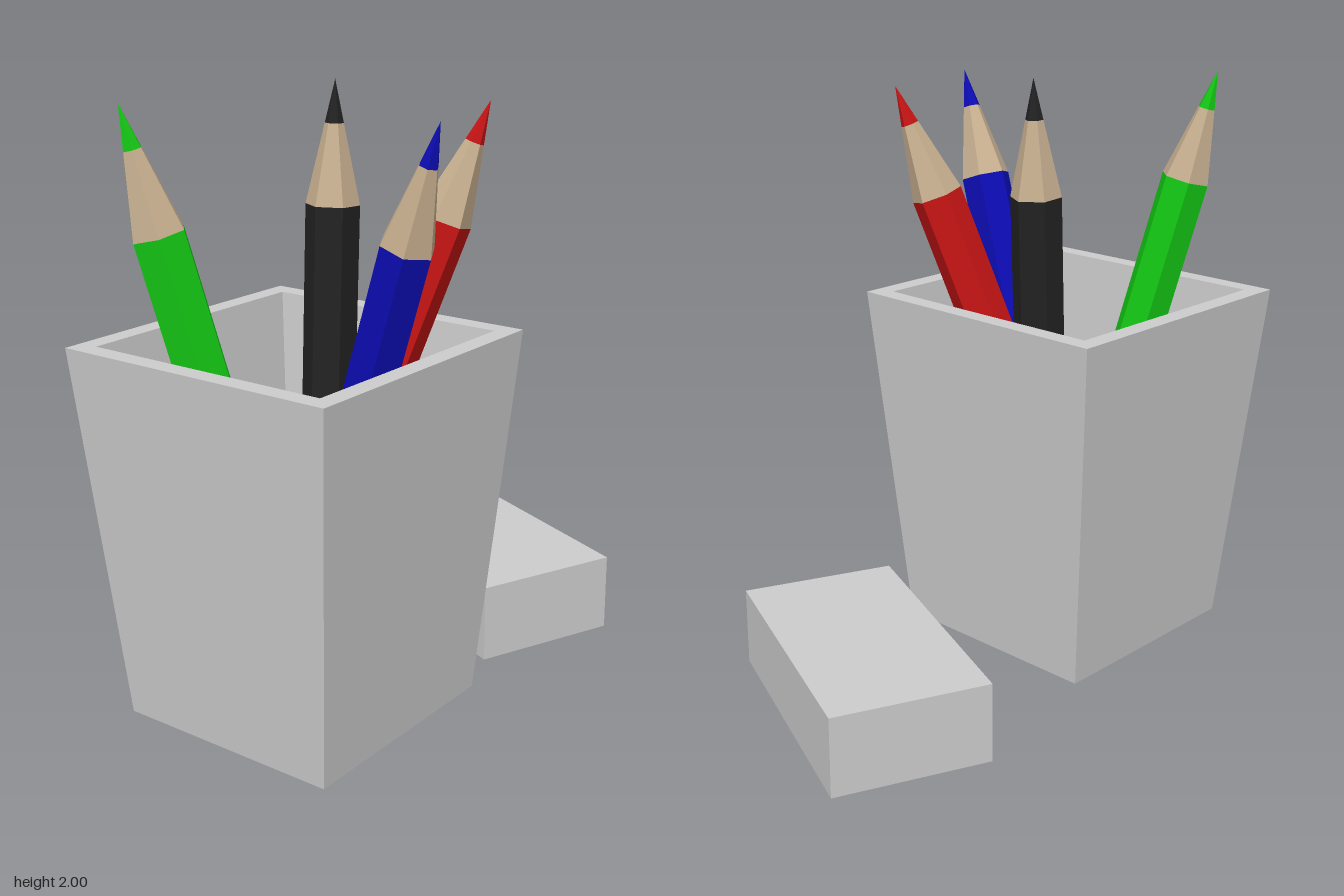
import * as THREE from 'three';

const mat = (color) => new THREE.MeshStandardMaterial({ color, flatShading: true });
const GREY = mat(0xcccccc);
const WOOD = mat(0xc8b090);
const UP = new THREE.Vector3(0, 1, 0);

function addMesh(parent, name, geometry, material) {
  const mesh = new THREE.Mesh(geometry, material);
  mesh.name = name;
  parent.add(mesh);
  return mesh;
}

// Hexagonal pencil, modelled with its point at the origin and its body hanging below
function pencil(name, color, tip, lean, rollDegrees) {
  const R = 0.087, LENGTH = 1.87, CONE = 0.39, LEAD = 0.135;
  const leadR = R * LEAD / CONE;
  const roll = THREE.MathUtils.degToRad(rollDegrees);
  const paint = mat(color);
  const group = new THREE.Group();
  group.name = name;

  const section = (part, rTop, rBottom, yTop, yBottom, open, material) => {
    const g = new THREE.CylinderGeometry(rTop, rBottom, yTop - yBottom, 6, 1, open, roll);
    g.translate(0, (yTop + yBottom) / 2, 0);
    addMesh(group, part, g, material);
  };
  section('pencilBody', R, R, -CONE, -LENGTH, false, paint);
  section('sharpenedWood', leadR, R, -LEAD, -CONE, true, WOOD);
  section('pencilLead', 0, leadR, 0, -LEAD, true, paint);

  const axis = new THREE.Vector3(lean[0], 1, lean[1]).normalize();
  group.quaternion.setFromUnitVectors(UP, axis);
  group.position.set(...tip);
  return group;
}

export function createModel() {
  const model = new THREE.Group();
  model.name = 'pencilCupAndEraser';

  // Square tapered cup: half-width and height of each profile corner
  const profile = [[0, 0], [0.397, 0], [0.5, 1.235], [0.435, 1.235], [0.343, 0.12], [0, 0.12]]
    .map(([half, y]) => new THREE.Vector2(half * Math.SQRT2, y));
  const cup = addMesh(model, 'cup', new THREE.LatheGeometry(profile, 4, Math.PI / 4), GREY);
  cup.position.set(-0.465, 0, -0.015);

  // Eraser block lying beside the cup
  const eraser = addMesh(model, 'eraser', new THREE.BoxGeometry(0.525, 0.27, 0.927), GREY);
  eraser.position.set(0.54, 0.135, -0.012);
  eraser.rotation.y = -0.405;

  // Pencils: point position, lean in x and z per unit height, roll
  model.add(
    pencil('greenPencil', 0x14c814, [-0.922, 1.98, -0.28], [-0.176, -0.19], 15),
    pencil('bluePencil', 0x0c0cb4, [-0.515, 1.95, 0.543], [-0.06, 0.346], 0),
    pencil('blackPencil', 0x222222, [-0.2, 2.0, -0.072], [0.05, 0], 30),
    pencil('redPencil', 0xc81414, [-0.023, 1.95, 0.387], [0.24, 0.29], -21),
  );
  return model;
}
